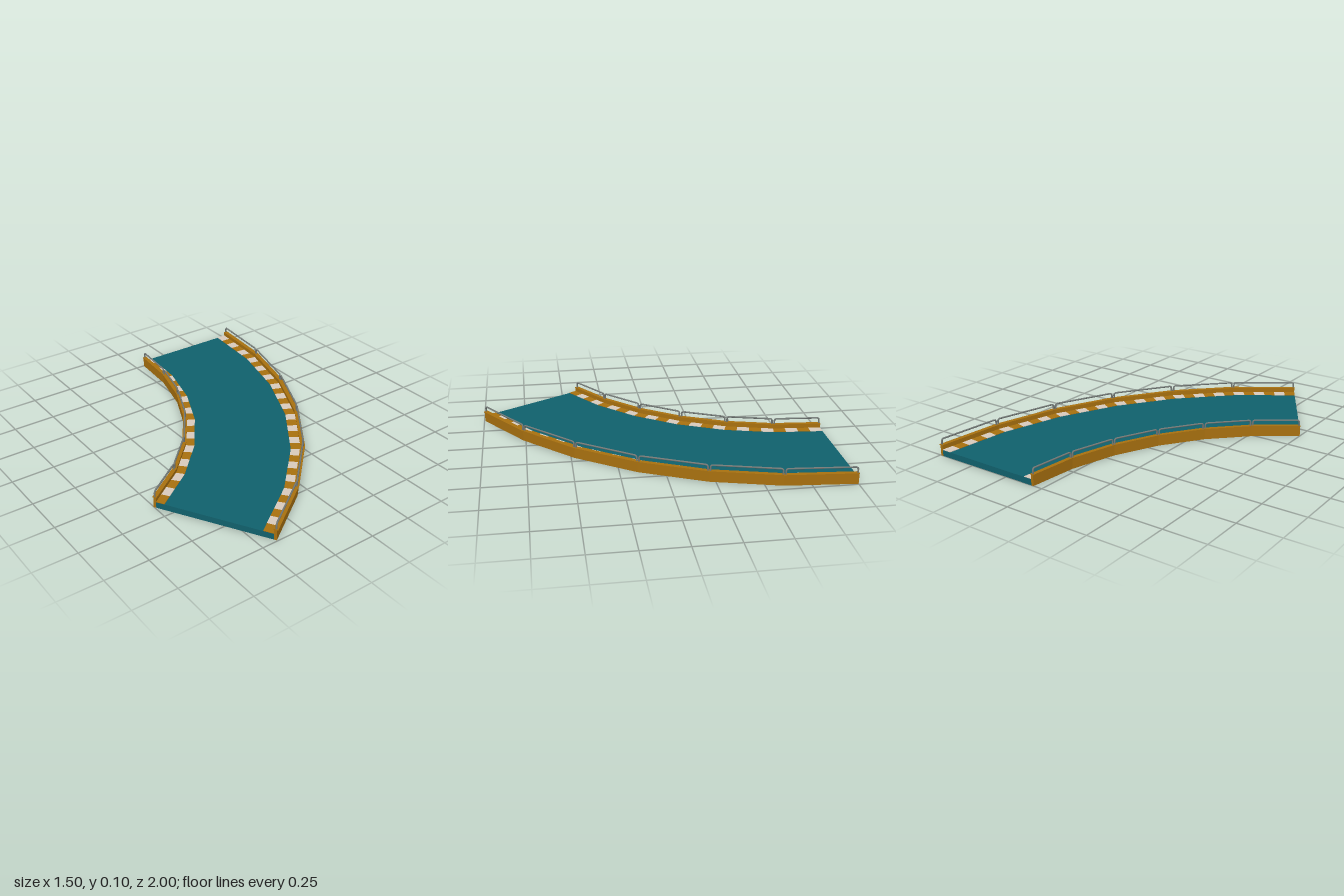
import * as THREE from 'three';

// The track bends 60 degrees about a centre on its back edge, in six straight facets.
const SEGMENTS = 6, STEP = Math.PI / 18, CX = -1.559, CZ = -1;
const ROAD_Y = 0.035, WALL_Y = 0.065, RAIL_Y = 0.097;

const mat = (color) => new THREE.MeshStandardMaterial({ color, flatShading: true });

// Point at radius r, height y, and t facets along the bend
function at(r, y, t) {
  const i = Math.min(Math.floor(t), SEGMENTS - 1);
  const corner = (k) => new THREE.Vector3(CX + r * Math.cos(k * STEP), y, CZ + r * Math.sin(k * STEP));
  return corner(i).lerp(corner(i + 1), t - i);
}

// Sweep a convex counterclockwise [radius, y] profile through the stations ts, with end caps
function sweep(profile, ts) {
  const n = profile.length, pos = [], index = [];
  for (const t of ts) for (const [r, y] of profile) pos.push(...at(r, y, t).toArray());
  for (let k = 0; k < ts.length - 1; k++) {
    for (let i = 0; i < n; i++) {
      const a = k * n + i, b = k * n + (i + 1) % n;
      index.push(a, b, b + n, a, b + n, a + n);
    }
  }
  const last = (ts.length - 1) * n;
  for (let i = 1; i < n - 1; i++) {
    index.push(0, i + 1, i, last, last + i, last + i + 1);
  }
  const g = new THREE.BufferGeometry();
  g.setAttribute('position', new THREE.Float32BufferAttribute(pos, 3));
  g.setIndex(index);
  const flat = g.toNonIndexed();
  flat.computeVertexNormals();
  return flat;
}

const box = (r0, r1, y0, y1) => [[r0, y0], [r1, y0], [r1, y1], [r0, y1]];

// Rounded hoop of tube standing on one wall facet
function railGeometry(r, seg) {
  const a = at(r, WALL_Y - 0.004, seg), b = at(r, WALL_Y - 0.004, seg + 1);
  const dir = b.clone().sub(a).normalize();
  a.addScaledVector(dir, 0.007);
  b.addScaledVector(dir, -0.007);
  const bend = 0.014;
  const topA = a.clone().setY(RAIL_Y), topB = b.clone().setY(RAIL_Y);
  const lowA = a.clone().setY(RAIL_Y - bend), lowB = b.clone().setY(RAIL_Y - bend);
  const inA = topA.clone().addScaledVector(dir, bend), inB = topB.clone().addScaledVector(dir, -bend);
  const path = new THREE.CurvePath();
  path.add(new THREE.LineCurve3(a, lowA));
  path.add(new THREE.QuadraticBezierCurve3(lowA, topA, inA));
  path.add(new THREE.LineCurve3(inA, inB));
  path.add(new THREE.QuadraticBezierCurve3(inB, topB, lowB));
  path.add(new THREE.LineCurve3(lowB, b));
  return new THREE.TubeGeometry(path, 72, 0.005, 8, false);
}

export function createModel() {
  const model = new THREE.Group();
  model.name = 'curvedTrack';
  const teal = mat(0x10606c), orange = mat(0xa8700f), white = mat(0xd8cabc);
  const metal = new THREE.MeshStandardMaterial({ color: 0x747a77 });
  const all = Array.from({ length: SEGMENTS + 1 }, (_, i) => i);

  const add = (parent, name, geometry, material) => {
    const m = new THREE.Mesh(geometry, material);
    m.name = name;
    parent.add(m);
  };

  // Road slab
  add(model, 'roadDeck', sweep(box(1.63, 2.287, 0, ROAD_Y), all), teal);

  const sides = [
    { name: 'inner', wall: [1.615, 1.63], cap: [1.61, 1.634], curb: [1.63, 1.679], rail: 1.621, stripes: 4 },
    { name: 'outer', wall: [2.287, 2.303], cap: [2.283, 2.309], curb: [2.229, 2.287], rail: 2.297, stripes: 6 },
  ];
  for (const s of sides) {
    const side = new THREE.Group();
    side.name = s.name + 'Side';
    model.add(side);

    // Wall and its slightly wider top lip
    add(side, s.name + 'Wall', sweep(box(...s.wall, 0, WALL_Y - 0.005), all), orange);
    add(side, s.name + 'WallCap', sweep(box(...s.cap, WALL_Y - 0.005, WALL_Y), all), orange);

    // Striped curb, a whole number of stripes to each facet
    const count = SEGMENTS * s.stripes;
    for (let i = 0; i < count; i++) {
      const profile = box(...s.curb, ROAD_Y - 0.002, ROAD_Y + 0.003);
      add(side, s.name + 'CurbStripe', sweep(profile, [i / s.stripes, (i + 1) / s.stripes]),
        i % 2 ? orange : white);
    }

    // Guard rails, one hoop to each facet
    for (let i = 0; i < SEGMENTS; i++) add(side, s.name + 'GuardRail', railGeometry(s.rail, i), metal);
  }
  return model;
}
